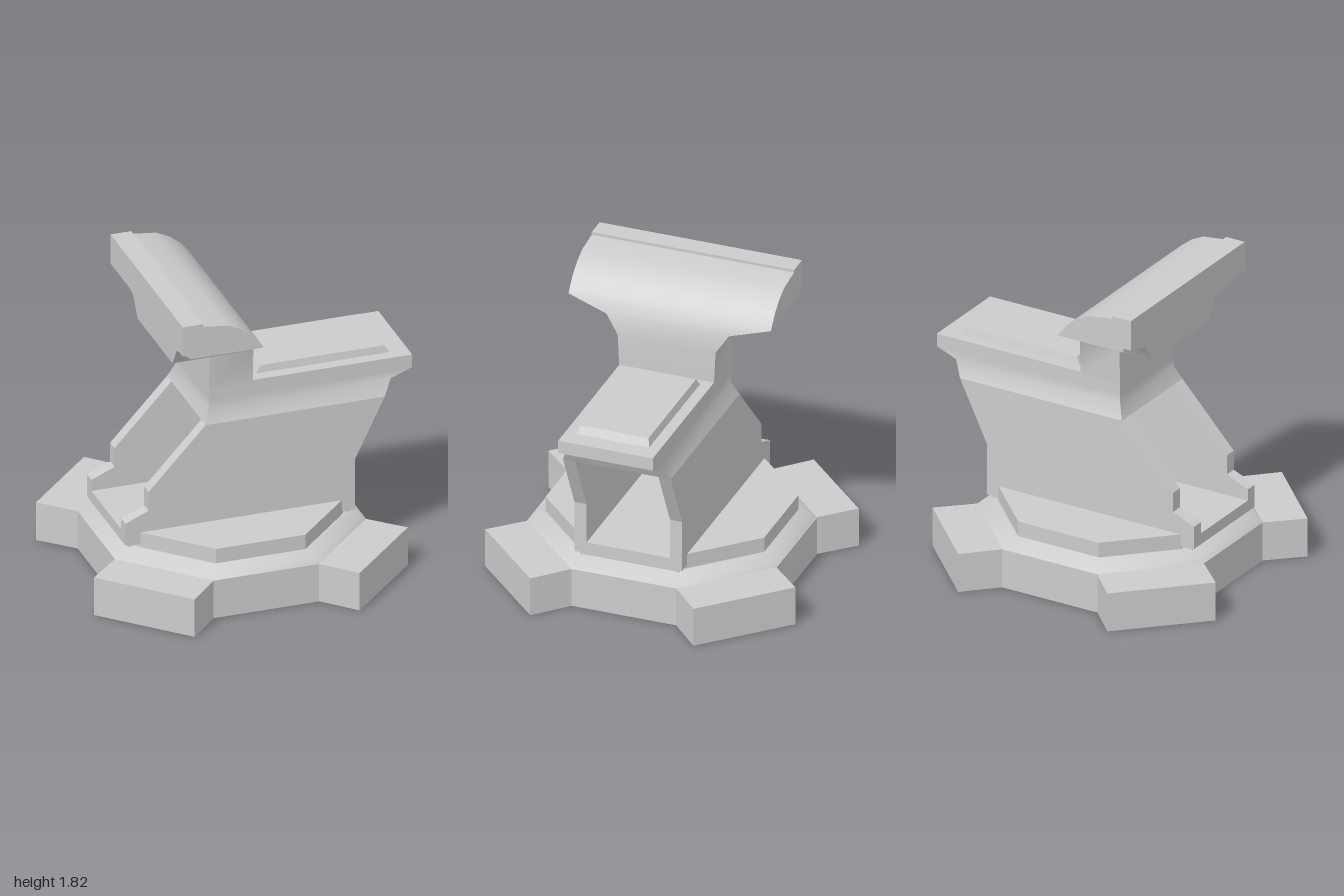
import * as THREE from 'three';
import { toCreasedNormals } from 'three/addons/utils/BufferGeometryUtils.js';

const material = new THREE.MeshStandardMaterial({ color: 0xcccccc });
const CX = -0.05; // centre of the octagonal base along x

// Horizontal cross-sections, corners counter-clockwise seen from above
const rect = (y, x0, x1, z0, z1) =>
  [[x0, z1], [x1, z1], [x1, z0], [x0, z0]].map(([x, z]) => new THREE.Vector3(x, y, z));

const octagon = (y, h, s) =>
  [[-s, h], [s, h], [h, s], [h, -s], [s, -h], [-s, -h], [-h, -s], [-h, s]]
    .map(([x, z]) => new THREE.Vector3(CX + x, y, z));

// Closed solid through a stack of convex cross-sections
function loft(rings, crease) {
  const pos = [];
  const tri = (a, b, c) => {
    const area = b.clone().sub(a).cross(c.clone().sub(a)).length();
    if (area > 1e-7) pos.push(...a.toArray(), ...b.toArray(), ...c.toArray());
  };
  const n = rings[0].length;
  for (let r = 0; r < rings.length - 1; r++) {
    for (let i = 0; i < n; i++) {
      const j = (i + 1) % n, lo = rings[r], hi = rings[r + 1];
      tri(lo[i], lo[j], hi[j]);
      tri(lo[i], hi[j], hi[i]);
    }
  }
  const bottom = rings[0], top = rings[rings.length - 1];
  for (let i = 1; i < n - 1; i++) {
    tri(bottom[0], bottom[i + 1], bottom[i]);
    tri(top[0], top[i], top[i + 1]);
  }
  const geometry = new THREE.BufferGeometry();
  geometry.setAttribute('position', new THREE.Float32BufferAttribute(pos, 3));
  geometry.computeVertexNormals();
  return toCreasedNormals(geometry, crease);
}

export function createModel() {
  const group = new THREE.Group();
  const add = (name, geometry) => {
    const mesh = new THREE.Mesh(geometry, material);
    mesh.name = name;
    group.add(mesh);
  };

  // Base: octagon with four diagonal feet, one quarter mirrored round
  const quarter = [[0.32, 0.765], [0.5, 0.95], [0.95, 0.5], [0.76, 0.32]];
  const flip = (sx, sz) => quarter.map(([x, z]) => new THREE.Vector2(CX + sx * x, sz * z));
  const outline = new THREE.Shape([
    ...flip(1, 1).reverse(), ...flip(-1, 1),
    ...flip(-1, -1).reverse(), ...flip(1, -1),
  ]);
  const base = new THREE.ExtrudeGeometry(outline, { depth: 0.24, bevelEnabled: false });
  base.rotateX(-Math.PI / 2);
  add('footedBase', base);

  // Sloping octagonal deck
  add('baseDeck', loft([
    octagon(0.235, 0.76, 0.32), octagon(0.24, 0.76, 0.32),
    octagon(0.265, 0.73, 0.308), octagon(0.298, 0.67, 0.283),
  ], 0.5));
  add('bodyPlinth', loft([rect(0.29, -0.72, 0.62, -0.3, 0.3), rect(0.32, -0.72, 0.62, -0.3, 0.3)], 0.5));

  // Raised plates either side of the body
  for (const side of [1, -1]) {
    const corners = [[0.22, 0.67], [0.57, 0.32], [-0.67, 0.32], [-0.32, 0.67]];
    if (side < 0) corners.reverse();
    const ring = (y) => corners.map(([x, z]) => new THREE.Vector3(x, y, side * z));
    add(side > 0 ? 'frontSidePlate' : 'backSidePlate', loft([ring(0.29), ring(0.39)], 0.3));
  }

  // Tunnel through the body: floor and two leaning walls
  add('tunnelFloor', loft([rect(0.32, -0.75, 0.64, -0.255, 0.255), rect(0.39, -0.75, 0.64, -0.255, 0.255)], 0.3));
  const wall = [
    [0.32, -0.75, 0.64], [0.46, -0.75, 0.64], [0.52, -0.61, 0.64],
    [0.64, -0.61, 0.64], [1.01, -0.265, 0.82],
  ];
  for (const side of [1, -1]) {
    const z0 = side > 0 ? 0.255 : -0.33, z1 = side > 0 ? 0.33 : -0.255;
    add(side > 0 ? 'frontWall' : 'backWall', loft(wall.map(([y, x0, x1]) => rect(y, x0, x1, z0, z1)), 0.3));
  }

  // Solid shoulder with the overhanging seat slab
  const shoulder = [
    [1.01, -0.265, 0.82, 0.33], [1.1, -0.23, 0.87, 0.29],
    [1.15, -0.23, 1.0, 0.29], [1.23, -0.23, 1.0, 0.29],
  ];
  add('shoulder', loft(shoulder.map(([y, x0, x1, z]) => rect(y, x0, x1, -z, z)), 0.6));

  // Bevelled pad on the slab
  add('pad', loft([rect(1.225, 0.08, 0.89, -0.225, 0.22), rect(1.275, 0.11, 0.86, -0.21, 0.21)], 0.3));

  // Neck flaring into the wide rounded head
  const neckAndHead = [
    [1.22, -0.23, 0.035, 0.29], [1.425, -0.23, 0.035, 0.3],
    [1.425, -0.455, 0.035, 0.3], [1.54, -0.455, 0.02, 0.375],
    [1.605, -0.455, -0.015, 0.62], [1.63, -0.455, -0.03, 0.62],
    [1.63, -0.505, -0.03, 0.62], [1.69, -0.505, -0.08, 0.62],
    [1.745, -0.505, -0.15, 0.62], [1.782, -0.505, -0.23, 0.62],
    [1.8, -0.505, -0.38, 0.62], [1.817, -0.505, -0.38, 0.62],
  ];
  add('neckAndHead', loft(neckAndHead.map(([y, x0, x1, z]) => rect(y, x0, x1, -z, z)), 0.85));

  return group;
}
